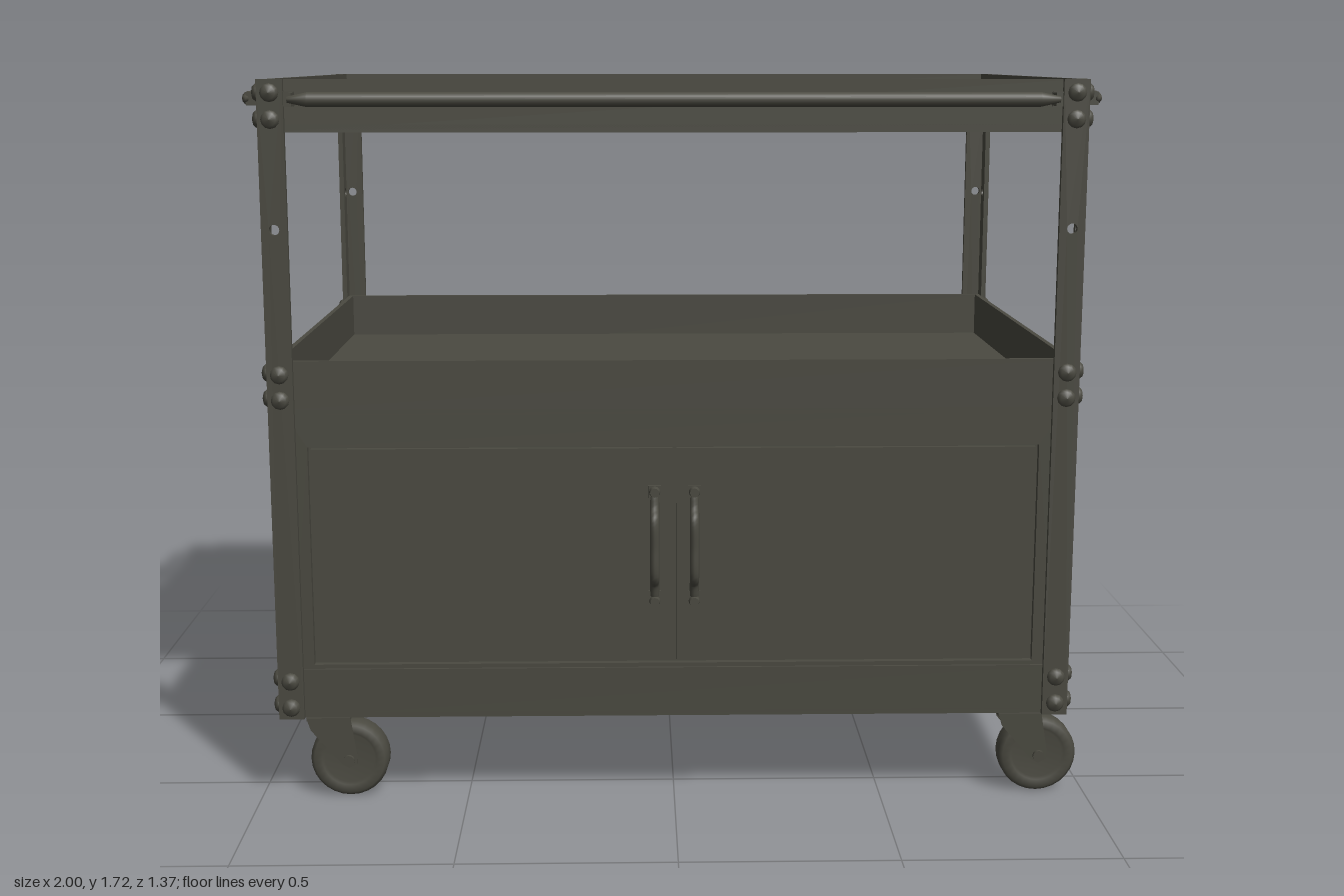
import * as THREE from 'three';

export function createModel() {
  const model = new THREE.Group();
  model.name = 'utilityCart';
  const steel = new THREE.MeshStandardMaterial({ name: 'olive grey steel', color: 0x4b4a41 });

  const add = (name, geo, x, y, z, parent = model) => {
    const m = new THREE.Mesh(geo, steel);
    m.name = name;
    m.position.set(x, y, z);
    parent.add(m);
    return m;
  };
  const box = (name, w, h, d, x, y, z, parent) =>
    add(name, new THREE.BoxGeometry(w, h, d), x, y, z, parent);
  const rect = (C, x0, y0, x1, y1) => {
    const s = new C();
    s.moveTo(x0, y0); s.lineTo(x1, y0); s.lineTo(x1, y1); s.lineTo(x0, y1); s.closePath();
    return s;
  };
  const extrude = (shape, depth) =>
    new THREE.ExtrudeGeometry(shape, { depth, bevelEnabled: false, curveSegments: 12 })
      .translate(0, 0, -depth / 2);

  // Open trays: floor plus four thin walls
  const X = 0.932, Z = 0.622, T = 0.012;
  const tray = (name, bottom, top, floorY, frontBottom = bottom) => {
    const g = new THREE.Group();
    g.name = name;
    model.add(g);
    box('trayFloor', 2 * X, 0.012, 2 * Z, 0, floorY - 0.006, 0, g);
    for (const s of [-1, 1]) {
      const b = s > 0 ? frontBottom : bottom;
      box('trayLongWall', 2 * X, top - b, T, 0, (top + b) / 2, s * (Z - T / 2), g);
      box('trayEndWall', T, top - bottom, 2 * Z, s * (X - T / 2), (top + bottom) / 2, 0, g);
    }
  };
  tray('topTray', 1.6, 1.72, 1.618);
  tray('middleTray', 0.88, 1.075, 0.96, 0.96);
  tray('bottomTray', 0.21, 0.33, 0.222);

  // Cabinet: side and back panels, front frame and two doors
  for (const s of [-1, 1])
    box('cabinetSide', 0.012, 0.7, 1.22, s * 0.918, 0.6, 0);
  box('cabinetBack', 1.84, 0.7, 0.012, 0, 0.6, -0.608);
  const frame = rect(THREE.Shape, -0.92, 0.25, 0.92, 0.962);
  frame.holes.push(rect(THREE.Path, -0.86, 0.34, 0.86, 0.87));
  add('cabinetFrontFrame', extrude(frame, 0.016), 0, 0, 0.608);
  box('cabinetInnerBacking', 1.8, 0.6, 0.008, 0, 0.61, 0.592);
  for (const s of [-1, 1]) {
    box('door', 0.849, 0.518, 0.014, s * 0.429, 0.605, 0.605);
    // Door handle: bowed grip with two bolted feet
    const h = new THREE.Group();
    h.name = 'doorHandle';
    h.position.set(s * 0.047, 0.627, 0.612);
    model.add(h);
    const path = new THREE.CatmullRomCurve3([
      [-0.12, 0.004], [-0.09, 0.012], [-0.07, 0.03], [0, 0.033], [0.07, 0.03], [0.09, 0.012], [0.12, 0.004],
    ].map(([y, z]) => new THREE.Vector3(0, y, z)));
    add('handleGrip', new THREE.TubeGeometry(path, 28, 0.011, 8), 0, 0, 0, h);
    for (const t of [-1, 1]) {
      box('handleFoot', 0.03, 0.04, 0.008, 0, t * 0.128, 0.003, h);
      add('handleBolt', new THREE.CylinderGeometry(0.011, 0.014, 0.016, 12).rotateX(Math.PI / 2),
        0, t * 0.133, 0.012, h);
    }
  }

  // Corner posts: angle iron with a through hole in each flange, and bolts
  const flange = (w) => {
    const s = rect(THREE.Shape, -w / 2, 0.21, w / 2, 1.72);
    const hole = new THREE.Path();
    hole.absarc(0, 1.38, 0.012, 0, Math.PI * 2, true);
    s.holes.push(hole);
    return extrude(s, 0.013);
  };
  const bolt = new THREE.LatheGeometry(
    [[0.021, 0], [0.021, 0.007], [0.015, 0.014], [0, 0.018]].map(([x, y]) => new THREE.Vector2(x, y)), 12);
  for (const sx of [-1, 1]) for (const sz of [-1, 1]) {
    const post = new THREE.Group();
    post.name = 'cornerPost';
    model.add(post);
    add('postFaceFlange', flange(0.06), sx * 0.915, 0, sz * 0.6285, post);
    add('postSideFlange', flange(0.06), sx * 0.9385, 0, sz * 0.605, post).rotation.y = Math.PI / 2;
    for (const y of [1.69, 1.63, 1.045, 0.985, 0.305, 0.24]) {
      add('faceBolt', bolt, sx * 0.915, y, sz * 0.634, post).rotation.x = sz * Math.PI / 2;
      add('sideBolt', bolt, sx * 0.944, y, sz * 0.602, post).rotation.z = -sx * Math.PI / 2;
    }
  }

  // Push rails around the top: tapered bar on two thin brackets
  const rail = (half, dist, wall, angle) => {
    const g = new THREE.Group();
    g.name = 'pushRail';
    g.rotation.y = angle;
    model.add(g);
    const pts = [[0, -half], [0.007, -half], [0.017, -half + 0.045],
      [0.017, half - 0.045], [0.007, half], [0, half]].map(([x, y]) => new THREE.Vector2(x, y));
    add('railBar', new THREE.LatheGeometry(pts, 14).rotateZ(Math.PI / 2), 0, 1.675, dist, g);
    for (const s of [-1, 1]) {
      box('railBracket', 0.008, 0.03, dist - wall, s * (half - 0.005), 1.675, (dist + wall) / 2, g);
      box('railBracketFoot', 0.04, 0.034, 0.008, s * (half + 0.012), 1.675, wall + 0.003, g);
    }
  };
  rail(0.87, 0.667, Z, 0);
  rail(0.87, 0.667, Z, Math.PI);
  rail(0.56, 0.983, X, Math.PI / 2);
  rail(0.56, 0.983, X, -Math.PI / 2);

  // Casters, all trailing the same way
  const tyre = new THREE.LatheGeometry(
    [[0, -0.022], [0.06, -0.022], [0.066, -0.028], [0.085, -0.028], [0.094, -0.018],
      [0.094, 0.018], [0.085, 0.028], [0.066, 0.028], [0.06, 0.022], [0, 0.022]]
      .map(([x, y]) => new THREE.Vector2(x, y)), 28).rotateX(Math.PI / 2);
  const fork = new THREE.Shape(
    [[-0.05, 0.2], [-0.04, 0.17], [0.032, 0.085], [0.05, 0.074], [0.07, 0.085], [0.07, 0.11], [0.055, 0.2]]
      .map(([x, y]) => new THREE.Vector2(x, y)));
  for (const sx of [-1, 1]) for (const sz of [-1, 1]) {
    const c = new THREE.Group();
    c.name = 'caster';
    c.position.set(sx * 0.837, 0, sz * 0.565);
    model.add(c);
    add('wheel', tyre, 0.05, 0.094, 0, c);
    for (const s of [-1, 1]) add('forkPlate', extrude(fork, 0.005), 0, 0, s * 0.034, c);
    box('forkBridge', 0.105, 0.008, 0.073, 0.0025, 0.197, 0, c);
    add('swivel', new THREE.CylinderGeometry(0.032, 0.032, 0.014, 16), 0, 0.206, 0, c);
    add('axle', new THREE.CylinderGeometry(0.014, 0.014, 0.09, 12).rotateX(Math.PI / 2), 0.05, 0.094, 0, c);
  }
  return model;
}
